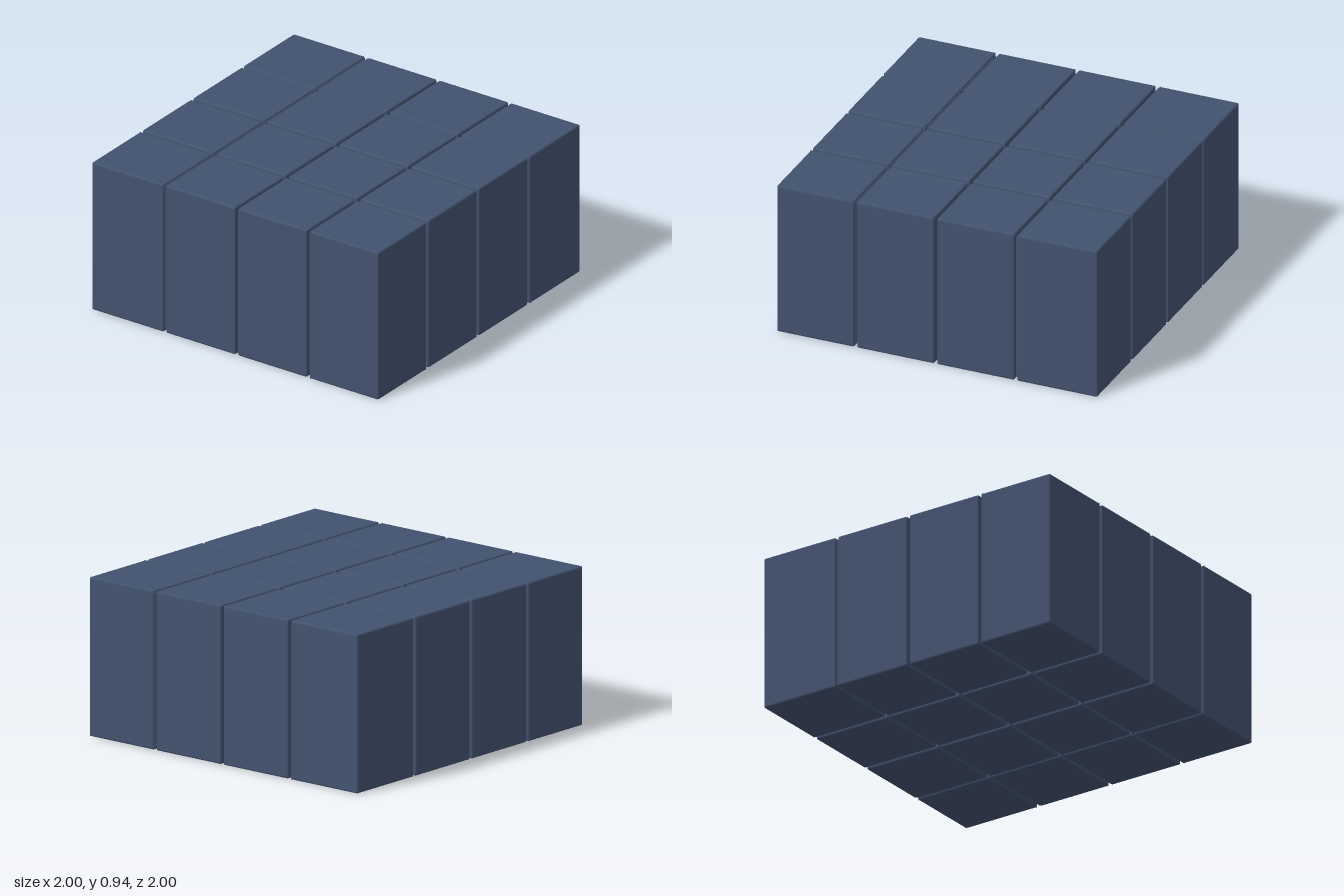
import * as THREE from 'three';
import { RoundedBoxGeometry } from 'three/addons/geometries/RoundedBoxGeometry.js';

const HEIGHT = 0.94, BEVEL = 0.01, GAP = 0.018, INSET = 0.03;
const material = new THREE.MeshStandardMaterial({ color: 0x42526e, flatShading: true });

function addMesh(parent, name, geometry, x, y, z) {
  const mesh = new THREE.Mesh(geometry, material);
  mesh.name = name;
  mesh.position.set(x, y, z);
  parent.add(mesh);
  return mesh;
}

// Box whose end on the +x or -x (or z) side shrinks, forming a sloped joint lip
function lipGeometry(w, d, axis, side) {
  const len = GAP + BEVEL;
  const g = axis === 'x' ? new THREE.BoxGeometry(len, HEIGHT, d) : new THREE.BoxGeometry(w, HEIGHT, len);
  const p = g.attributes.position;
  const shrink = v => v - Math.sign(v) * INSET;
  for (let i = 0; i < p.count; i++) {
    const along = axis === 'x' ? p.getX(i) : p.getZ(i);
    if (along * side < 0) continue;
    p.setY(i, shrink(p.getY(i)));
    if (axis === 'x') p.setZ(i, shrink(p.getZ(i)));
    else p.setX(i, shrink(p.getX(i)));
  }
  g.computeVertexNormals();
  return g;
}

export function createModel() {
  const model = new THREE.Group();
  model.name = 'blockGrid';

  // Column limits along x; rows use the same limits mirrored along z
  const spans = [[-1, -0.5 - GAP], [-0.5, -GAP], [0, 0.5 - GAP], [0.5, 1]];
  // Outer columns carry a lip facing inward
  const lipSide = [1, 0, 0, -1];
  const y = HEIGHT / 2;

  spans.forEach(([x0, x1], i) => spans.forEach(([a, b], j) => {
    const z0 = -b, z1 = -a;
    const w = x1 - x0, d = z1 - z0;
    const cx = (x0 + x1) / 2, cz = (z0 + z1) / 2;
    const block = new THREE.Group();
    block.name = `block_${i + 1}_${j + 1}`;
    addMesh(block, 'blockBody', new RoundedBoxGeometry(w, HEIGHT, d, 1, BEVEL), cx, y, cz);

    const shift = (GAP - BEVEL) / 2;
    const sx = lipSide[i], sz = -lipSide[j];
    if (sx) addMesh(block, 'sideLip', lipGeometry(w, d, 'x', sx), cx + sx * (w / 2 + shift), y, cz);
    if (sz) addMesh(block, 'depthLip', lipGeometry(w, d, 'z', sz), cx, y, cz + sz * (d / 2 + shift));
    model.add(block);
  }));

  // Recessed core seen at the bottom of the open grooves
  addMesh(model, 'innerCore', new THREE.BoxGeometry(1.76, 0.82, 1.76), 0, y, 0);
  return model;
}
